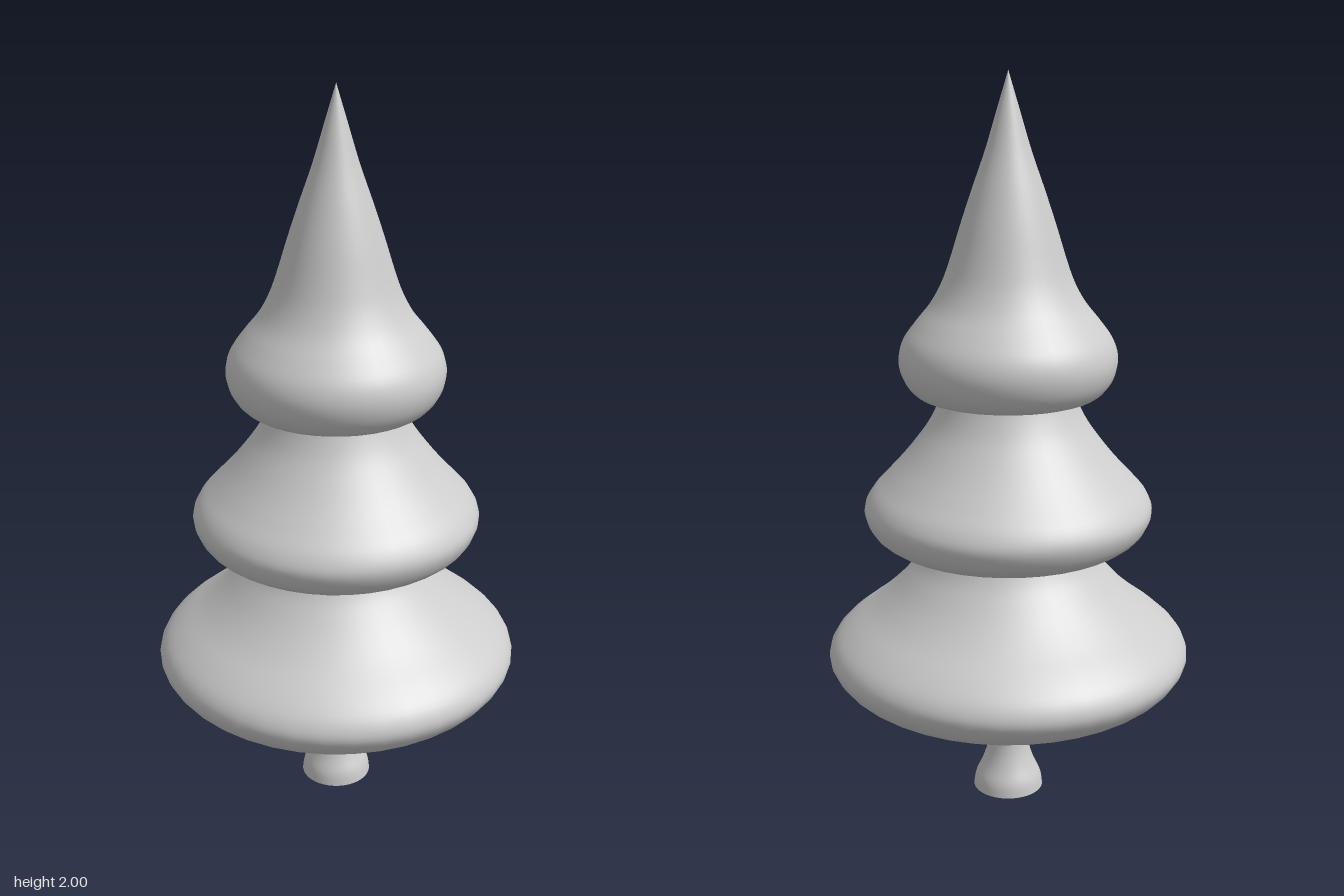
import * as THREE from 'three';

export function createModel() {
  const tree = new THREE.Group();
  tree.name = 'tree';
  const clay = new THREE.MeshStandardMaterial({ color: 0xcccccc });
  clay.name = 'light grey';

  // Smooth turned body from [radius, height] pairs, closed by a flat disc underneath
  function turned(name, profile, steps) {
    const part = new THREE.Group();
    part.name = name;
    const curve = new THREE.SplineCurve(profile.map(([r, y]) => new THREE.Vector2(r, y)));
    const points = curve.getPoints(steps);
    points.forEach((p) => { p.x = Math.max(p.x, 0); });
    const side = new THREE.Mesh(new THREE.LatheGeometry(points, 40), clay);
    side.name = name + 'Side';
    const base = new THREE.Mesh(new THREE.CircleGeometry(profile[0][0], 40), clay);
    base.name = name + 'Underside';
    base.rotation.x = Math.PI / 2;
    base.position.y = profile[0][1];
    part.add(side, base);
    tree.add(part);
  }

  // Trunk with a flared foot
  turned('trunk', [
    [0.098, 0], [0.092, 0.035], [0.072, 0.08], [0.058, 0.13], [0.054, 0.2], [0.06, 0.34],
  ], 20);

  // Three foliage tiers; the lower two run up inside the tier above
  turned('lowerFoliage', [
    [0.405, 0.33], [0.435, 0.342], [0.475, 0.375], [0.499, 0.42], [0.485, 0.465],
    [0.44, 0.51], [0.375, 0.56], [0.32, 0.61], [0.275, 0.66], [0.245, 0.7],
    [0.22, 0.75], [0.2, 0.8],
  ], 40);
  turned('middleFoliage', [
    [0.31, 0.752], [0.335, 0.76], [0.372, 0.79], [0.392, 0.84], [0.375, 0.885],
    [0.335, 0.93], [0.29, 0.98], [0.25, 1.03], [0.215, 1.08], [0.19, 1.13],
    [0.172, 1.18],
  ], 40);
  turned('upperFoliage', [
    [0.215, 1.155], [0.25, 1.167], [0.28, 1.205], [0.292, 1.255], [0.28, 1.305],
    [0.245, 1.355], [0.205, 1.405], [0.175, 1.46], [0.153, 1.52], [0.125, 1.61],
    [0.095, 1.7], [0.06, 1.8], [0.03, 1.9], [0, 2],
  ], 48);

  return tree;
}
